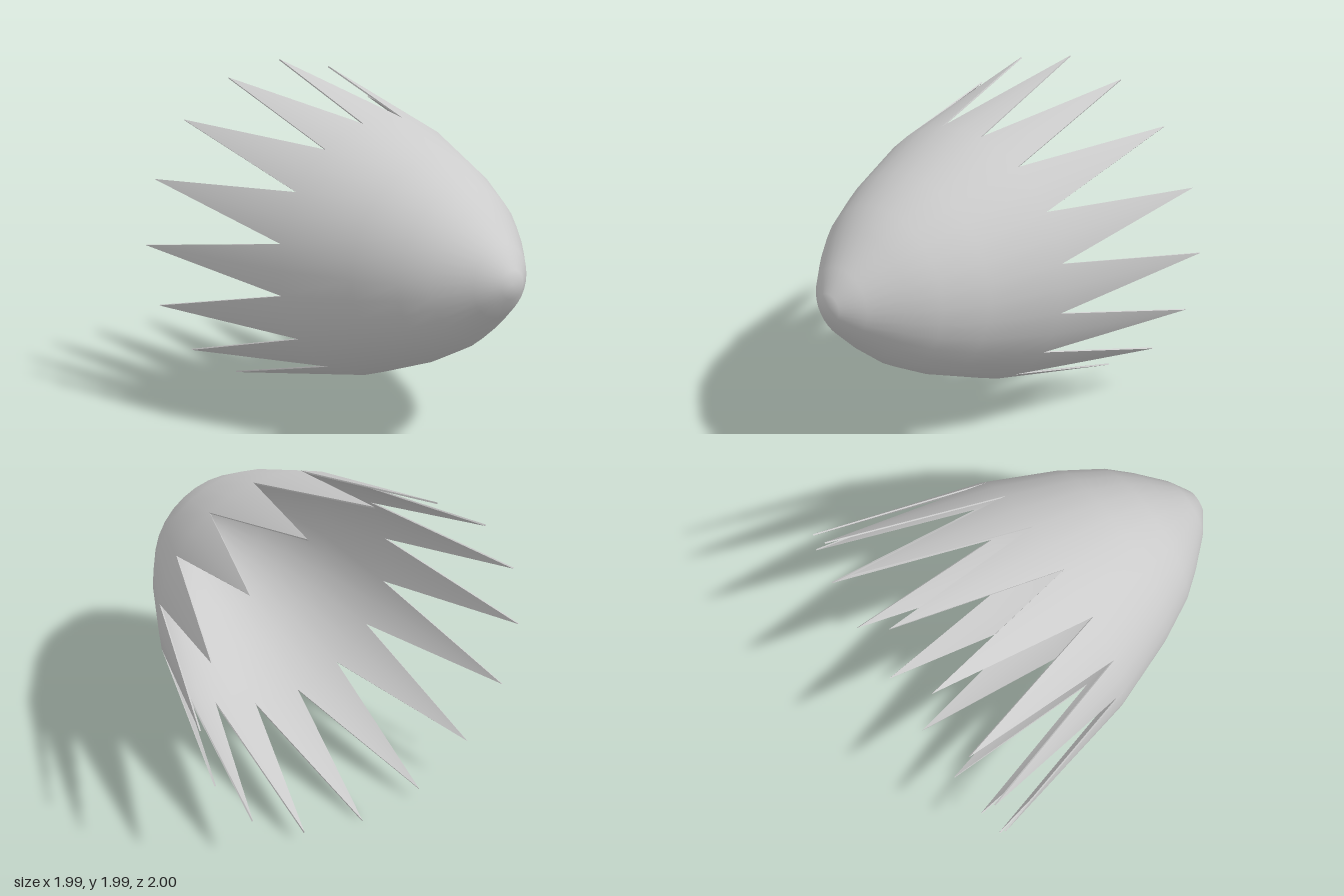
import * as THREE from 'three';

const SPIKES = 16;
const SEGMENTS = SPIKES * 2;
const THICKNESS = 0.008;
const TIP = [0.997, -0.995];
// radius and z, from the blunt nose back to the roots of the spikes
const PROFILE = [[0.08, 1], [0.2, 0.91], [0.35, 0.75], [0.462, 0.61], [0.587, 0.38], [0.755, -0.035]];

const onCircle = ([r, z], j) => {
  const a = (j / SEGMENTS) * Math.PI * 2;
  return [r * Math.cos(a), r * Math.sin(a), z];
};

// Move the profile inward along its own normal
function inset(profile, d) {
  return profile.map(([r, z], i) => {
    const p = profile[Math.max(i - 1, 0)], q = profile[Math.min(i + 1, profile.length - 1)];
    const dr = q[0] - p[0], dz = q[1] - p[1], l = Math.hypot(dr, dz);
    return [r + (dz / l) * d, z - (dr / l) * d];
  });
}

function makeGeometry(positions, index) {
  const g = new THREE.BufferGeometry();
  g.setAttribute('position', new THREE.Float32BufferAttribute(positions, 3));
  if (index) g.setIndex(index);
  g.computeVertexNormals();
  return g;
}

// Smooth bowl whose last ring carries one pointed spike per two segments
function shell(profile, tip, inward) {
  const positions = [0, 0, profile[0][1]], index = [];
  const tri = (a, b, c) => (inward ? index.push(a, c, b) : index.push(a, b, c));
  const at = (i, j) => 1 + i * SEGMENTS + ((j + SEGMENTS) % SEGMENTS);
  profile.forEach((p) => {
    for (let j = 0; j < SEGMENTS; j++) positions.push(...onCircle(p, j));
  });
  const last = profile.length - 1;
  for (let j = 0; j < SEGMENTS; j++) {
    tri(0, at(0, j), at(0, j + 1));
    for (let i = 0; i < last; i++) {
      tri(at(i, j), at(i + 1, j), at(i + 1, j + 1));
      tri(at(i, j), at(i + 1, j + 1), at(i, j + 1));
    }
  }
  for (let j = 0; j < SEGMENTS; j += 2) {
    const t = positions.length / 3;
    positions.push(...onCircle(tip, j));
    tri(at(last, j - 1), t, at(last, j));
    tri(at(last, j), t, at(last, j + 1));
  }
  return makeGeometry(positions, index);
}

// Narrow wall along the zigzag edge, joining both surfaces
function rim(outer, outerTip, inner, innerTip) {
  const positions = [];
  const edge = (root, tip, j) => onCircle(j % 2 ? root : tip, j);
  for (let j = 0; j < SEGMENTS; j++) {
    const p = edge(outer, outerTip, j), q = edge(outer, outerTip, j + 1);
    const pi = edge(inner, innerTip, j), qi = edge(inner, innerTip, j + 1);
    positions.push(...p, ...pi, ...qi, ...p, ...qi, ...q);
  }
  return makeGeometry(positions);
}

export function createModel() {
  const group = new THREE.Group();
  group.name = 'spikedShell';
  const material = new THREE.MeshStandardMaterial({ color: 0xcccccc });
  const add = (name, geometry) => {
    const mesh = new THREE.Mesh(geometry, material);
    mesh.name = name;
    mesh.position.y = 1;
    group.add(mesh);
  };

  const inner = inset(PROFILE, THICKNESS);
  const innerTip = [TIP[0] - THICKNESS, TIP[1] - 0.003];
  const last = PROFILE.length - 1;

  add('outerShell', shell(PROFILE, TIP, false));
  add('innerShell', shell(inner, innerTip, true));
  add('spikedRim', rim(PROFILE[last], TIP, inner[last], innerTip));
  return group;
}
